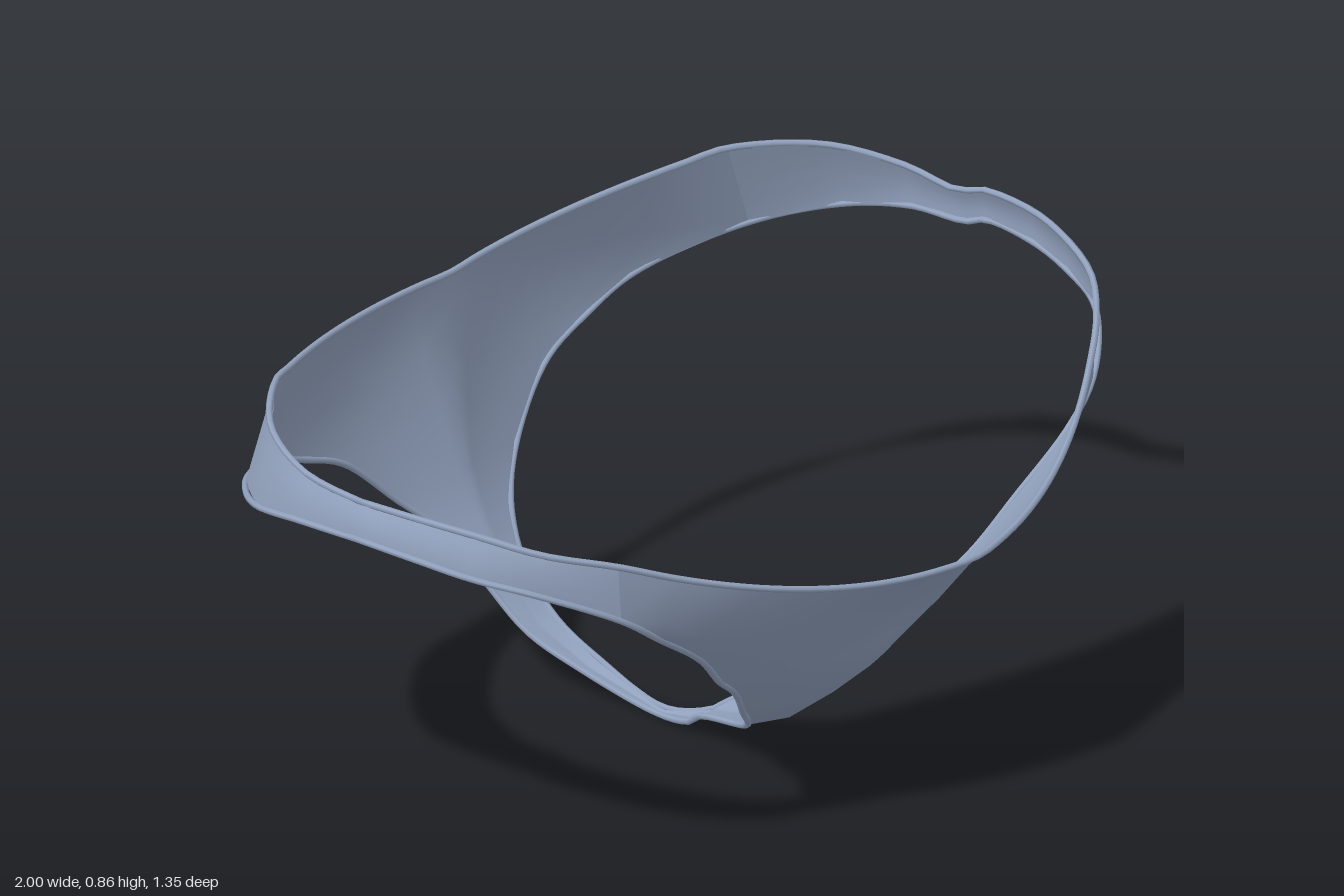
import * as THREE from 'three';
import { mergeVertices } from 'three/addons/utils/BufferGeometryUtils.js';

// Each panel row: centre [y, z], edge [x, y, z], bow of the row's middle [y, z]
const frontRows = [
  [[0.56, 0.67], [0.76, 0.72, 0.37], [-0.045, 0.05]],
  [[0.51, 0.6], [0.75, 0.6, 0.37], [-0.022, 0.045]],
  [[0.45, 0.545], [0.65, 0.53, 0.385], [-0.02, 0.035]],
  [[0.39, 0.48], [0.5, 0.43, 0.37], [-0.012, 0.03]],
  [[0.32, 0.44], [0.4, 0.34, 0.34], [-0.005, 0.022]],
  [[0.25, 0.4], [0.3, 0.27, 0.3], [0, 0.015]],
  [[0.17, 0.31], [0.2, 0.18, 0.24], [0, 0.01]],
  [[0.085, 0.2], [0.1, 0.095, 0.17], [0, 0]],
  [[0.05, 0.01], [0.055, 0.058, 0.02], [0, 0]],
];
const backRows = [
  [[0.81, -0.645], [0.72, 0.86, -0.52], [-0.008, -0.045]],
  [[0.74, -0.645], [0.8, 0.67, -0.53], [0.01, -0.08]],
  [[0.67, -0.643], [0.58, 0.61, -0.64], [0, -0.035]],
  [[0.6, -0.638], [0.45, 0.56, -0.66], [0, -0.02]],
  [[0.52, -0.625], [0.32, 0.505, -0.66], [0, -0.01]],
  [[0.4, -0.605], [0.19, 0.39, -0.63], [0, 0]],
  [[0.3, -0.56], [0.1, 0.3, -0.575], [0, 0]],
  [[0.2, -0.505], [0.06, 0.2, -0.51], [0, 0]],
  [[0.11, -0.42], [0.045, 0.115, -0.42], [0, 0]],
  [[0.055, -0.3], [0.03, 0.063, -0.3], [0, 0]],
  [[0.008, -0.12], [0.015, 0.012, -0.12], [0, 0]],
  [[0.022, -0.015], [0.04, 0.03, -0.02], [0, 0]],
  [[0.05, 0.01], [0.055, 0.058, 0.02], [0, 0]],
];
// Hip strap rungs from front to back: upper point, lower point
const strapRungs = [
  [[0.76, 0.72, 0.37], [0.75, 0.6, 0.37]],
  [[0.87, 0.755, 0.27], [0.89, 0.675, 0.265]],
  [[0.93, 0.785, 0.15], [0.95, 0.7, 0.15]],
  [[0.962, 0.8, 0.04], [0.98, 0.72, 0.04]],
  [[0.97, 0.803, -0.09], [0.99, 0.73, -0.09]],
  [[0.955, 0.795, -0.125], [0.975, 0.722, -0.125]],
  [[0.95, 0.815, -0.26], [0.97, 0.72, -0.26]],
  [[0.88, 0.845, -0.4], [0.93, 0.7, -0.4]],
  [[0.72, 0.86, -0.52], [0.8, 0.67, -0.53]],
];

const vec = (p) => new THREE.Vector3(...p);

// Points from a to b, with the middle pushed by bow
function bowed(a, b, bow, n) {
  return Array.from({ length: n + 1 }, (_, i) => {
    const t = i / n;
    return a.clone().lerp(b, t).addScaledVector(bow, 4 * t * (1 - t));
  });
}

const panelGrid = (rows) => rows.map(([c, e, b]) =>
  bowed(new THREE.Vector3(0, ...c), vec(e), new THREE.Vector3(0, ...b), 8));

// Surface through a grid of points, together with its mirror image in x
function mirroredSurface(grid, flip) {
  const pos = [], idx = [], cols = grid[0].length;
  for (const side of [1, -1]) {
    const base = pos.length / 3;
    for (const row of grid) for (const p of row) pos.push(side * p.x, p.y, p.z);
    for (let r = 0; r < grid.length - 1; r++) {
      for (let k = 0; k < cols - 1; k++) {
        const a = base + r * cols + k, b = a + cols;
        if (flip === (side > 0)) idx.push(a, b + 1, b, a, a + 1, b + 1);
        else idx.push(a, b, b + 1, a, b + 1, a + 1);
      }
    }
  }
  const geo = new THREE.BufferGeometry();
  geo.setAttribute('position', new THREE.Float32BufferAttribute(pos, 3));
  geo.setIndex(idx);
  const merged = mergeVertices(geo, 1e-4);
  merged.computeVertexNormals();
  return merged;
}

const mirror = (pts) => pts.map((p) => new THREE.Vector3(-p.x, p.y, p.z));

// Thin rolled hem along a closed edge
function hem(points) {
  const curve = new THREE.CatmullRomCurve3(points, true, 'centripetal');
  return new THREE.TubeGeometry(curve, 140, 0.007, 6, true);
}

export function createModel() {
  const group = new THREE.Group();
  const fabric = new THREE.MeshStandardMaterial({ color: 0x94a4c0, side: THREE.DoubleSide });
  fabric.name = 'blue grey fabric';
  const add = (name, geo) => {
    const mesh = new THREE.Mesh(geo, fabric);
    mesh.name = name;
    group.add(mesh);
  };

  // Panels and hip straps
  const front = panelGrid(frontRows);
  const back = panelGrid(backRows);
  const strap = strapRungs.map(([a, b], i) => {
    const end = i === 0 || i === strapRungs.length - 1;
    return bowed(vec(a), vec(b), new THREE.Vector3(end ? 0 : 0.006, 0, 0), 4);
  });
  add('frontPanel', mirroredSurface(front, false));
  add('backPanel', mirroredSurface(back, true));
  add('hipStraps', mirroredSurface(strap, true));

  // Waist hem
  const tops = strap.slice(1, -1).map((r) => r[0]);
  const half = [...front[0], ...tops, ...back[0].slice().reverse()];
  add('waistHem', hem([...half, ...mirror(half.slice(1, -1)).reverse()]));

  // Leg hems
  const edge = (grid) => grid.slice(1).map((r) => r[r.length - 1]);
  const bottoms = strap.slice(1, -1).map((r) => r[r.length - 1]);
  const leg = [...edge(front), ...edge(back).reverse().slice(1), ...bottoms.reverse()];
  add('leftLegHem', hem(leg));
  add('rightLegHem', hem(mirror(leg)));

  return group;
}
